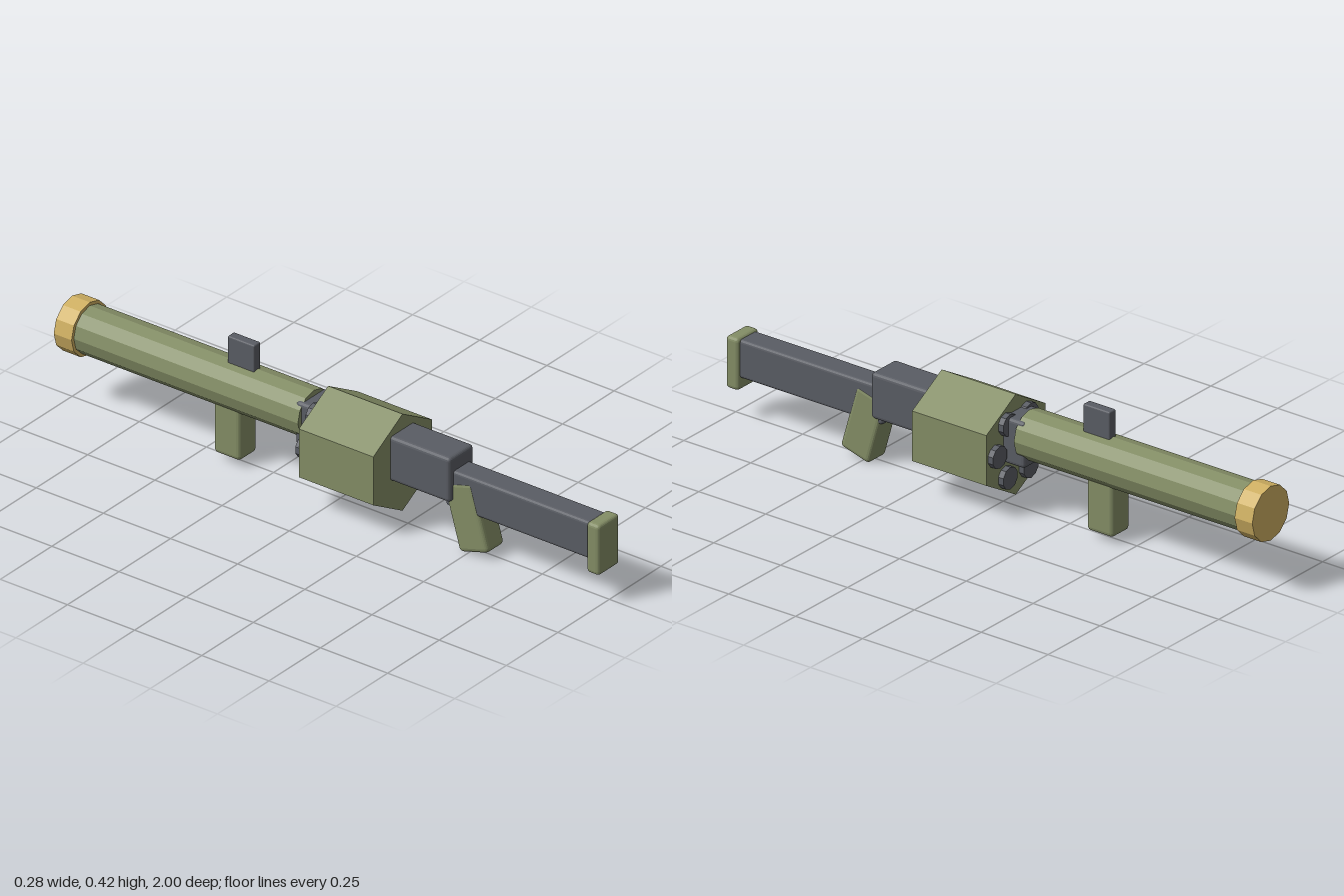
import * as THREE from 'three';
import { RoundedBoxGeometry } from 'three/addons/geometries/RoundedBoxGeometry.js';

export function createModel() {
  const model = new THREE.Group();
  model.name = 'launcher';

  const paint = (color) => new THREE.MeshStandardMaterial({ color, flatShading: true });
  const green = paint(0x848e66);
  const dark = paint(0x5a5d64);
  const gold = paint(0xcfb062);

  const add = (name, geometry, material, x, y, z) => {
    const mesh = new THREE.Mesh(geometry, material);
    mesh.name = name;
    mesh.position.set(x, y, z);
    model.add(mesh);
    return mesh;
  };

  // Soft-edged block given by half width and its y and z ranges
  const block = (name, material, halfX, y0, y1, z0, z1, radius) =>
    add(name, new RoundedBoxGeometry(halfX * 2, y1 - y0, z1 - z0, 2, radius), material,
      0, (y0 + y1) / 2, (z0 + z1) / 2);

  // Faceted cylinder lying along z
  const rod = (name, material, radius, sides, x, y, z0, z1) =>
    add(name, new THREE.CylinderGeometry(radius, radius, z1 - z0, sides).rotateX(Math.PI / 2),
      material, x, y, (z0 + z1) / 2);

  // Body and shoulder stock
  block('receiver', dark, 0.059, 0.164, 0.314, -0.125, 0.451, 0.012);
  block('stock', dark, 0.041, 0.141, 0.266, 0.42, 0.96, 0.01);
  block('buttPad', green, 0.051, 0.101, 0.271, 0.952, 1.0, 0.012);

  // Hexagonal drum with a ring of six chamber caps
  const drumY = 0.202;
  rod('drum', green, 0.164, 6, 0, drumY, -0.047, 0.23);
  for (let i = 0; i < 6; i++) {
    const a = (i * Math.PI) / 3;
    rod('chamberCap', dark, 0.036, 10,
      Math.cos(a) * 0.1, drumY + Math.sin(a) * 0.1, -0.066, -0.04);
  }

  // Barrel and muzzle ring
  rod('barrel', green, 0.078, 12, 0, 0.255, -0.96, -0.1);
  rod('muzzleRing', gold, 0.089, 12, 0, 0.255, -1.0, -0.934);

  // Sight and grips
  block('sight', dark, 0.016, 0.31, 0.418, -0.41, -0.31, 0.005);
  block('foreGrip', green, 0.043, 0.024, 0.21, -0.442, -0.343, 0.014);
  const grip = block('rearGrip', green, 0.043, 0.012, 0.238, 0.439, 0.551, 0.014);
  grip.position.y = 0.123;
  grip.rotation.x = -0.28;

  return model;
}
